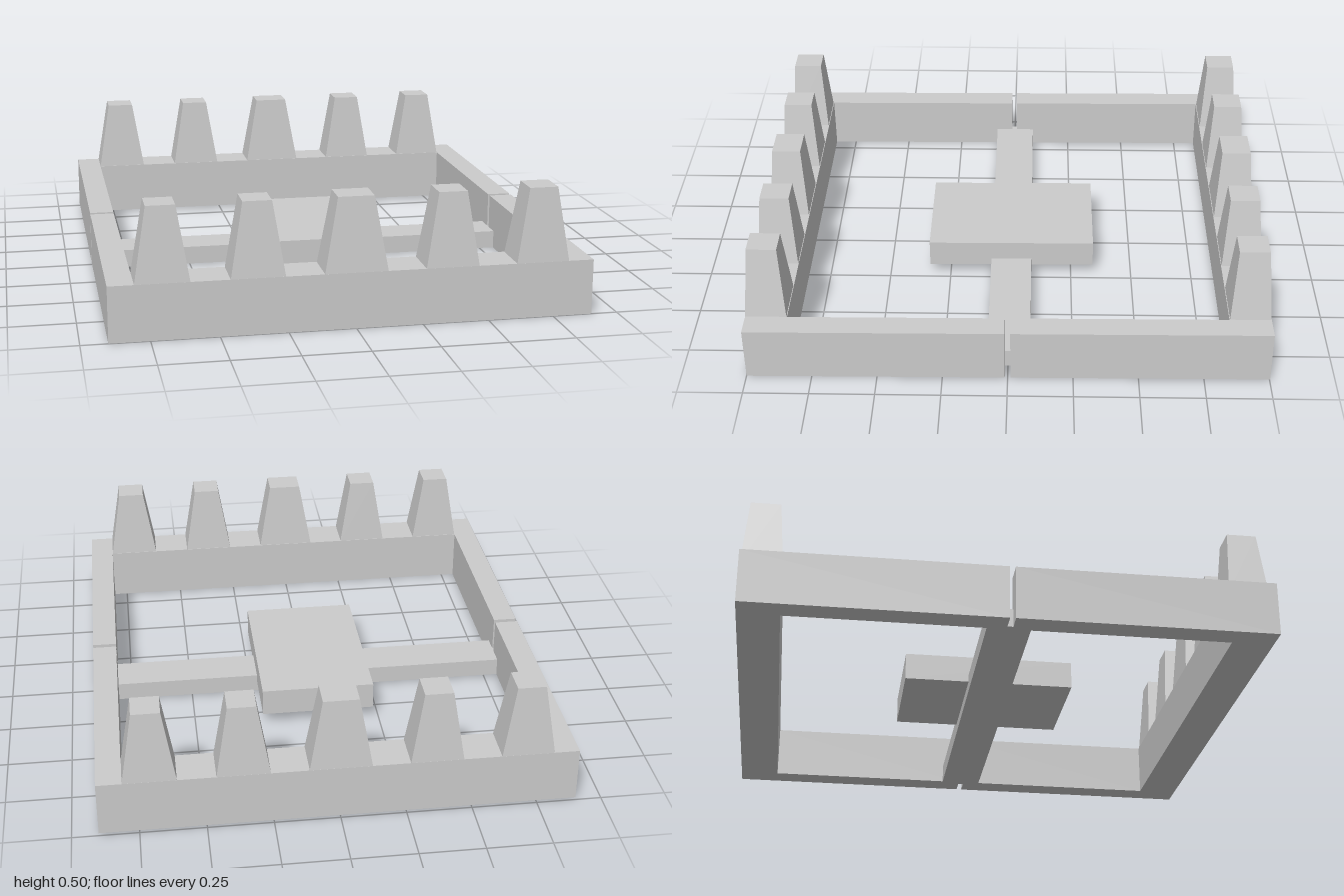
import * as THREE from 'three';

const material = new THREE.MeshStandardMaterial({ color: 0xcccccc, flatShading: true });

const RAIL_TOP = 0.212;
const TOOTH_TOP = 0.492;

function add(parent, name, geometry, x = 0, y = 0, z = 0) {
  const mesh = new THREE.Mesh(geometry, material);
  mesh.name = name;
  mesh.position.set(x, y, z);
  parent.add(mesh);
  return mesh;
}

// Box standing on y = 0 whose top is narrowed to a smaller rectangle
function taperedBlock(width, depth, height, topWidth, topDepth) {
  const geometry = new THREE.BoxGeometry(width, height, depth);
  geometry.translate(0, height / 2, 0);
  const p = geometry.attributes.position;
  for (let i = 0; i < p.count; i++) {
    if (p.getY(i) > height / 2) {
      p.setX(i, p.getX(i) * topWidth / width);
      p.setZ(i, p.getZ(i) * topDepth / depth);
    }
  }
  geometry.computeVertexNormals();
  return geometry;
}

// U-shaped half of the frame with five teeth along its end wall
function halfFrame(name) {
  const half = new THREE.Group();
  half.name = name;

  const outline = [
    [-0.9, 0.011], [-0.9, 1], [0.9, 1], [0.9, 0.011],
    [0.805, 0.011], [0.805, 0.84], [-0.805, 0.84], [-0.805, 0.011],
  ].map(([x, z]) => new THREE.Vector2(x, -z));
  const geometry = new THREE.ExtrudeGeometry(new THREE.Shape(outline), { depth: RAIL_TOP, bevelEnabled: false });
  geometry.rotateX(-Math.PI / 2);
  add(half, 'frameRails', geometry);

  for (const x of [-0.704, -0.36, 0, 0.36, 0.704]) {
    const extra = x === 0 ? 0.035 : 0; // the middle tooth is wider
    const tooth = taperedBlock(0.2 + extra, 0.157, TOOTH_TOP - RAIL_TOP, 0.107 + extra * 0.8, 0.115);
    add(half, 'tooth', tooth, x, RAIL_TOP, 0.921);
  }
  return half;
}

export function createModel() {
  const model = new THREE.Group();
  model.name = 'toothedFrame';

  const front = halfFrame('frontHalf');
  const back = halfFrame('backHalf');
  back.rotation.y = Math.PI;
  model.add(front, back);

  // Crossbar at floor level and the plate it carries
  add(model, 'crossbar', new THREE.BoxGeometry(1.655, 0.072, 0.165), 0, 0.036, -0.003);
  add(model, 'centrePlate', new THREE.BoxGeometry(0.452, 0.108, 0.674), 0, 0.096, -0.003);

  // The whole piece leans forward very slightly
  model.rotation.x = 0.0055;
  model.position.y = 0.0055;
  return model;
}
